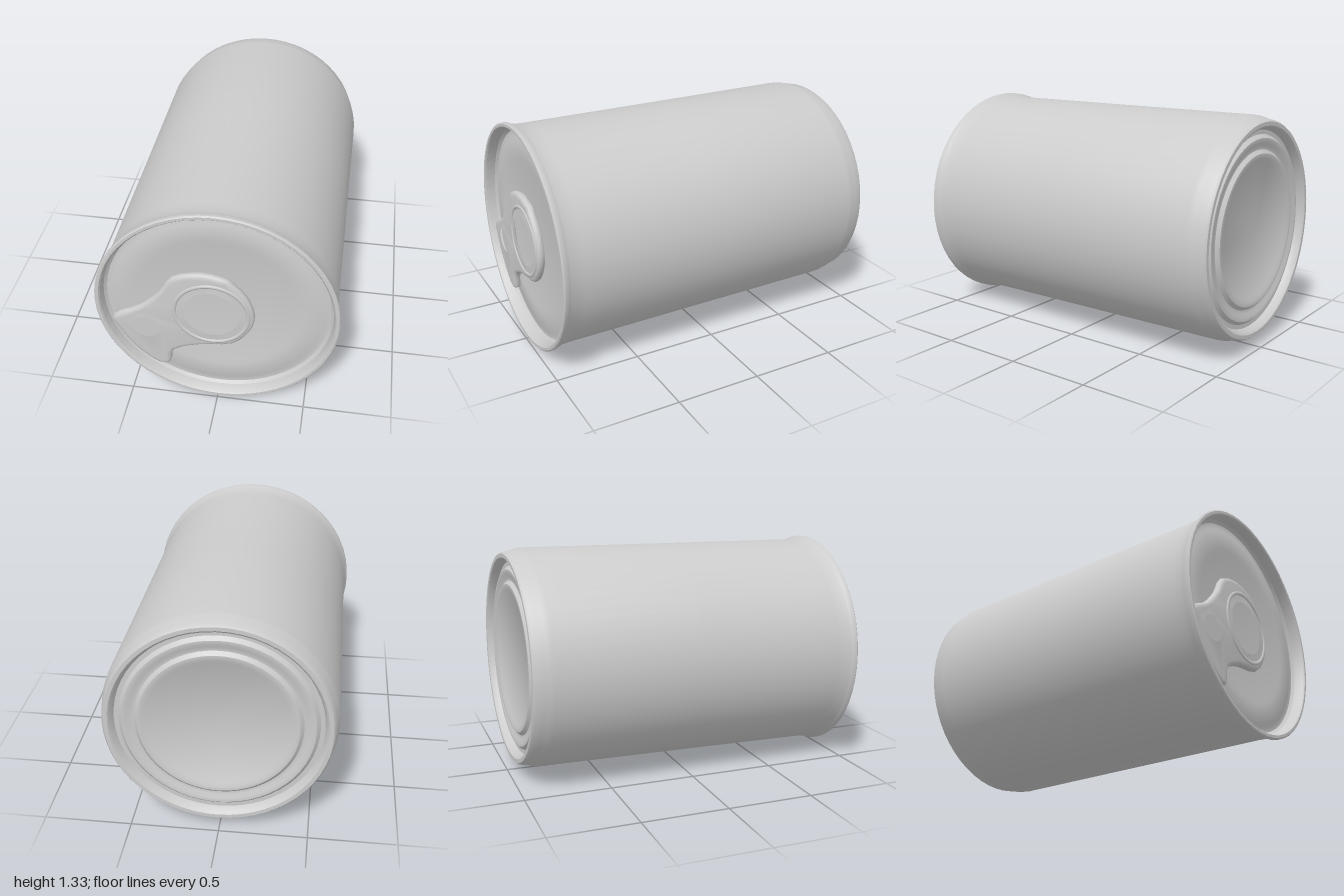
import * as THREE from 'three';
import { toCreasedNormals } from 'three/addons/utils/BufferGeometryUtils.js';

const CENTRE_Y = 0.668;
const material = new THREE.MeshStandardMaterial({ color: 0xcccccc });

// The can leans slightly and its back end is a little skewed
function lean(geometry) {
  const p = geometry.attributes.position;
  for (let i = 0; i < p.count; i++) {
    const t = (1 - p.getZ(i)) / 2;
    p.setY(i, p.getY(i) + 0.018 * t);
    p.setZ(i, p.getZ(i) - 0.028 * p.getX(i) * t);
  }
  return geometry;
}

// Surface of revolution about z; profile is [radius, z] from back to front
function turned(name, profile, segments = 56) {
  const points = profile.map(([r, z]) => new THREE.Vector2(r, z));
  const geometry = new THREE.LatheGeometry(points, segments);
  geometry.rotateX(Math.PI / 2);
  geometry.deleteAttribute('normal');
  geometry.deleteAttribute('uv');
  const mesh = new THREE.Mesh(toCreasedNormals(lean(geometry), 0.6), material);
  mesh.name = name;
  mesh.position.y = CENTRE_Y;
  return mesh;
}

// Rounded plate with a finger hole and a thumb dimple, in front-face coordinates
function pullTab() {
  const tab = new THREE.Group();
  tab.name = 'pullTab';
  const outline = [
    [0.06, 0.88], [0.16, 0.77], [0.205, 0.64], [0.18, 0.52], [0.08, 0.41],
    [-0.1, 0.375], [-0.25, 0.31], [-0.28, 0.2], [-0.36, 0.2], [-0.48, 0.31],
    [-0.57, 0.46], [-0.58, 0.54], [-0.44, 0.62], [-0.32, 0.74], [-0.24, 0.86], [-0.08, 0.905],
  ].map(([x, y]) => new THREE.Vector2(x, y));
  const curve = new THREE.SplineCurve([...outline, outline[0]]);
  const shape = new THREE.Shape(curve.getPoints(48).slice(0, -1));
  const holes = [[-0.03, 0.63, 0.18, 0.18], [-0.4, 0.48, 0.11, 0.1]];
  for (const [x, y, rx, ry] of holes) {
    shape.holes.push(new THREE.Path().absellipse(x, y, rx, ry, 0, Math.PI * 2, true));
  }
  const plate = new THREE.ExtrudeGeometry(shape, {
    depth: 0.012, bevelThickness: 0.018, bevelSize: 0.025, bevelOffset: -0.025,
    bevelSegments: 3, curveSegments: 14,
  });
  const plateMesh = new THREE.Mesh(toCreasedNormals(plate, 0.7), material);
  plateMesh.name = 'tabPlate';
  plateMesh.position.z = 0.932;
  tab.add(plateMesh);

  // Floor of the thumb dimple
  const dimple = new THREE.Mesh(new THREE.CircleGeometry(0.13, 24), material);
  dimple.name = 'tabDimple';
  dimple.position.set(-0.4, 0.48, 0.938);
  tab.add(dimple);

  // Raised lip round the finger hole
  const lip = new THREE.Mesh(new THREE.TorusGeometry(0.205, 0.014, 8, 36), material);
  lip.name = 'fingerHoleLip';
  lip.position.set(-0.03, 0.63, 0.955);
  tab.add(lip);
  return tab;
}

export function createModel() {
  const can = new THREE.Group();
  can.name = 'can';

  // Stepped bottom end with concentric ridges
  can.add(turned('backEnd', [
    [0, -0.937], [0.39, -0.937], [0.41, -0.95], [0.435, -0.95], [0.455, -0.932],
    [0.475, -0.932], [0.495, -0.945], [0.52, -0.945], [0.54, -0.925], [0.565, -0.925],
    [0.58, -0.965], [0.59, -0.973],
  ]));

  // Side wall with a necked back and a flared front
  can.add(turned('body', [
    [0.59, -0.973], [0.612, -0.973], [0.622, -0.96], [0.628, -0.92], [0.638, -0.89], [0.643, -0.86],
    [0.644, 0], [0.646, 0.86], [0.649, 0.92], [0.658, 0.95],
  ]));

  // Seam that joins the lid to the wall
  can.add(turned('frontRim', [
    [0.658, 0.95], [0.667, 0.97], [0.667, 0.985], [0.66, 0.991], [0.645, 0.991], [0.637, 0.982], [0.63, 0.93],
  ]));

  // Recessed lid with shallow circular steps
  can.add(turned('lid', [
    [0.63, 0.93], [0.615, 0.915], [0.585, 0.915], [0.565, 0.924], [0.46, 0.924], [0.43, 0.918], [0, 0.918],
  ]));

  can.add(pullTab());
  return can;
}
